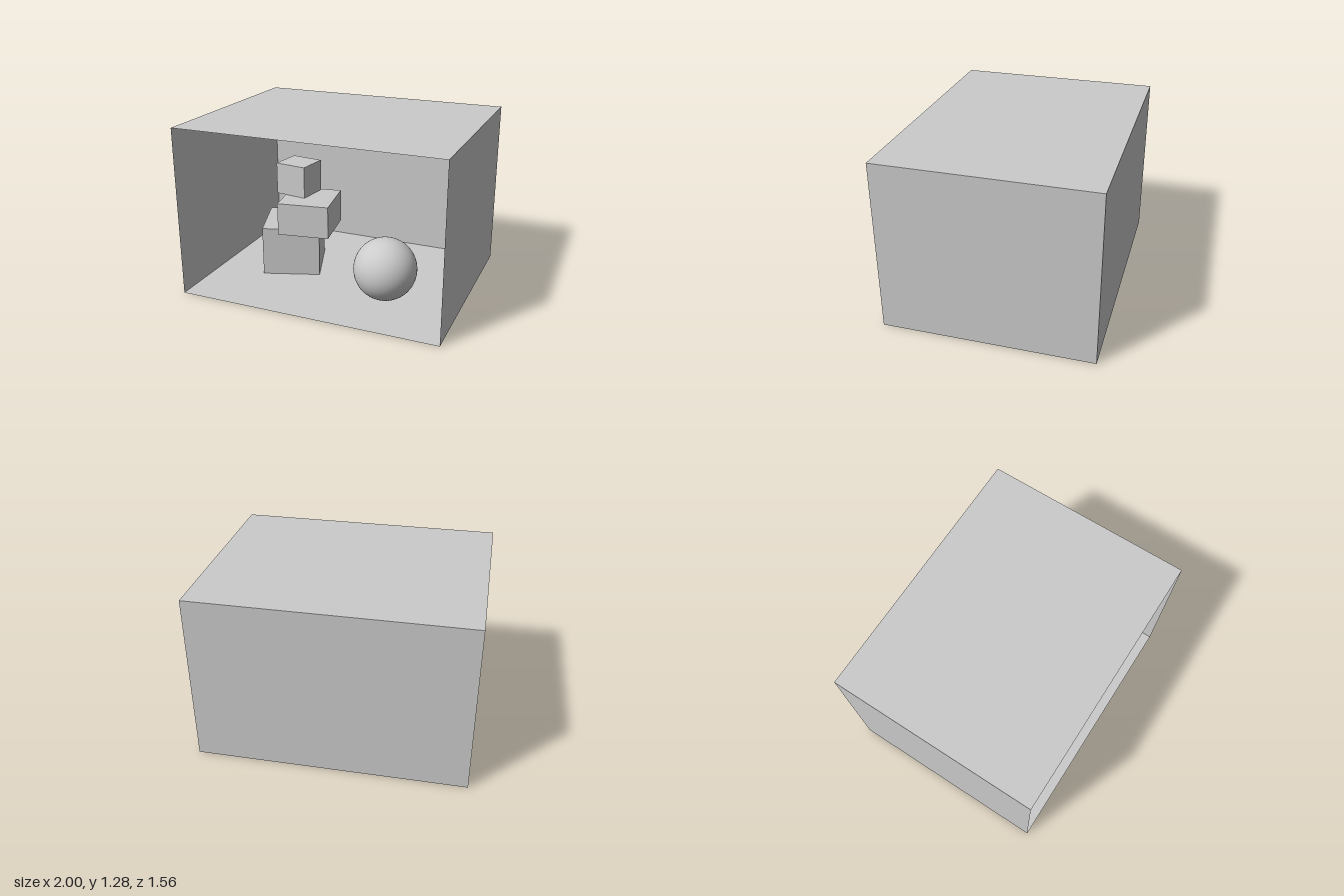
import * as THREE from 'three';

const W = 2, H = 1.285, D = 1.56;

export function createModel() {
  const model = new THREE.Group();
  const solid = new THREE.MeshStandardMaterial({ color: 0xcccccc });
  const sheet = new THREE.MeshStandardMaterial({ color: 0xcccccc, side: THREE.DoubleSide });

  const add = (parent, name, geometry, material, position, rotation = [0, 0, 0]) => {
    const mesh = new THREE.Mesh(geometry, material);
    mesh.name = name;
    mesh.position.set(...position);
    mesh.rotation.set(...rotation);
    parent.add(mesh);
  };

  // Paper-thin room, open at the front; every panel faces inward
  const room = new THREE.Group();
  room.name = 'room';
  model.add(room);
  const q = Math.PI / 2;
  const panel = (name, w, h, position, rotation) =>
    add(room, name, new THREE.PlaneGeometry(w, h), sheet, position, rotation);
  panel('floor', W, D, [0, 0, 0], [-q, 0, 0]);
  panel('ceiling', W, D, [0, H, 0], [q, 0, 0]);
  panel('backWall', W, H, [0, H / 2, -D / 2]);
  panel('rightWall', D, H, [-W / 2, H / 2, 0], [0, q, 0]);
  panel('leftWall', D, H, [W / 2, H / 2, 0], [0, -q, 0]);

  // Stack of three turned blocks: name, size, x, bottom y, z, turn in degrees
  const stack = new THREE.Group();
  stack.name = 'blockStack';
  model.add(stack);
  const blocks = [
    ['bottomBlock', [0.447, 0.385, 0.475], -0.47, 0.003, -0.045, 19.3],
    ['middleBlock', [0.396, 0.252, 0.41], -0.27, 0.388, 0.075, 9.2],
    ['topBlock', [0.254, 0.246, 0.24], -0.403, 0.64, -0.015, -8],
  ];
  for (const [name, size, x, y, z, turn] of blocks) {
    add(stack, name, new THREE.BoxGeometry(...size), solid,
      [x, y + size[1] / 2, z], [0, THREE.MathUtils.degToRad(turn), 0]);
  }

  // Ball resting on the floor
  add(model, 'ball', new THREE.SphereGeometry(0.236, 48, 32), solid, [0.43, 0.239, 0.27]);

  return model;
}
